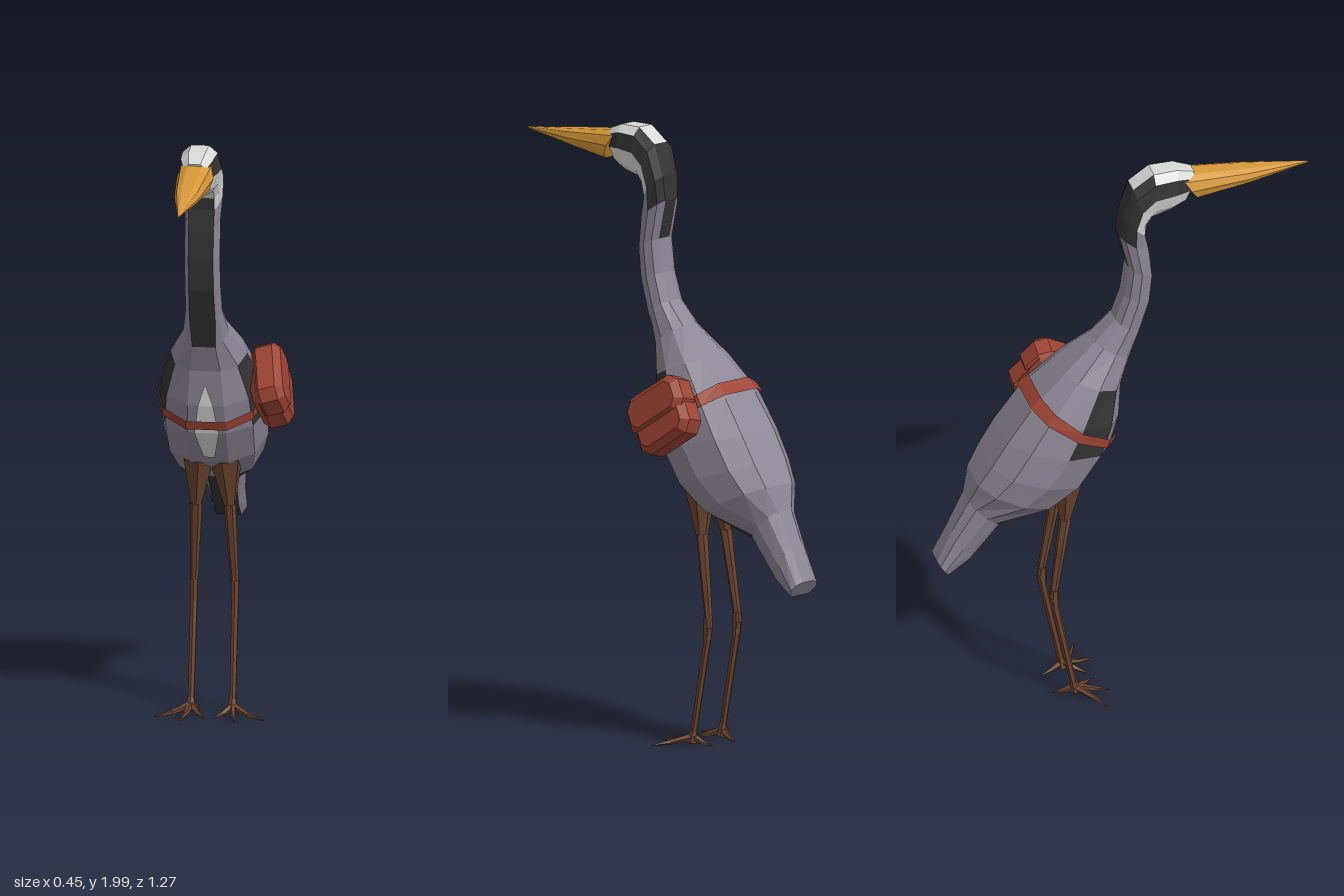
import * as THREE from 'three';

const mat = (name, color) => {
  const m = new THREE.MeshStandardMaterial({ color });
  m.name = name;
  return m;
};

export function createModel() {
  const mats = {
    g: mat('greyPlumage', 0x8c8494), d: mat('darkPlumage', 0x323232), w: mat('whitePlumage', 0xd8d8d6),
    y: mat('beakOchre', 0xd6973a), n: mat('legBrown', 0x6a432e), r: mat('bagRed', 0x9c4232),
  };
  const partNames = { g: 'greyFeathers', d: 'darkFeathers', w: 'whiteFeathers', y: 'beak', r: 'strap' };
  const bird = new THREE.Group();
  bird.name = 'wadingBird';
  bird.position.x = -0.05;
  const V = (x, y, z) => new THREE.Vector3(x, y, z);
  const add = (parent, name, geo, m) => {
    const flat = geo.index ? geo.toNonIndexed() : geo;
    flat.computeVertexNormals();
    const mesh = new THREE.Mesh(flat, m);
    mesh.name = name;
    parent.add(mesh);
    return mesh;
  };

  // Ten-sided ring from front/under point (z, y), back/upper point (z, y), half width and flat front share
  const ring = ([az, ay, bz, by, w, f]) => {
    const half = [[f, 0], [Math.max(0.82, f), 0.16], [1, 0.5], [0.82, 0.84], [0.42, 1]];
    const at = s => ([k, t]) => V(s * k * w, ay + (by - ay) * t, az + (bz - az) * t);
    return [...half.map(at(1)), ...half.slice().reverse().map(at(-1))];
  };
  const slot = [1, 2, 3, 4, 5, 4, 3, 2, 1, 0];

  // Skin rings; each band's code colours under, four side strips, and upper strip
  const loft = (name, rings, codes, capped) => {
    const tris = {};
    const put = (c, ...p) => (tris[c] ??= []).push(...p);
    for (let s = 0; s < rings.length - 1; s++) {
      const a = rings[s], b = rings[s + 1];
      for (let i = 0; i < 10; i++) {
        const j = (i + 1) % 10, code = codes[s];
        put(code[slot[i] % code.length], a[i], b[i], a[j], a[j], b[i], b[j]);
      }
    }
    if (capped) {
      const a = rings[0], b = rings[rings.length - 1];
      for (let i = 1; i < 9; i++) {
        put(codes[0][0], a[0], a[i], a[i + 1]);
        put(codes[codes.length - 1].slice(-1), b[0], b[i + 1], b[i]);
      }
    }
    const group = new THREE.Group();
    group.name = name;
    for (const c in tris) add(group, partNames[c], new THREE.BufferGeometry().setFromPoints(tris[c]), mats[c]);
    bird.add(group);
  };

  // Head, neck, body and tail
  const sections = [
    [0.20, 1.86, 0.24, 1.972, 0.045, 0.5],
    [0.16, 1.85, 0.18, 1.995, 0.065, 0.5],
    [0.09, 1.84, 0.10, 1.997, 0.07, 0.6],
    [0.07, 1.81, 0.03, 1.95, 0.07, 0.6],
    [0.066, 1.77, -0.005, 1.85, 0.065, 0.65],
    [0.08, 1.70, -0.015, 1.77, 0.058, 0.7],
    [0.09, 1.60, 0.015, 1.64, 0.058, 0.7],
    [0.08, 1.50, 0.00, 1.53, 0.058, 0.7],
    [0.045, 1.39, -0.03, 1.44, 0.06, 0.7],
    [0.012, 1.29, -0.10, 1.37, 0.075, 0.5],
    [-0.02, 1.20, -0.21, 1.28, 0.125, 0.4],
    [-0.03, 1.08, -0.33, 1.17, 0.165, 0.36],
    [-0.06, 0.98, -0.41, 1.06, 0.175, 0.36],
    [-0.14, 0.86, -0.465, 0.97, 0.17, 0.36],
    [-0.24, 0.78, -0.505, 0.90, 0.145, 0.4],
    [-0.43, 0.72, -0.53, 0.82, 0.075, 0.6],
    [-0.53, 0.60, -0.585, 0.71, 0.06, 0.7],
    [-0.60, 0.55, -0.635, 0.60, 0.058, 0.7],
  ];
  const rings = sections.map(ring);
  loft('body', rings, [
    'wwwdww', 'wwwdww', 'wwwddw', 'dwwddd', 'dggddd', 'dggggd', 'dggggg', 'dggggg', 'dggggg',
    'gggggg', 'ggdggg', 'ggdggg', 'gggggg', 'gggggg', 'ddgggg', 'dggggg', 'dggggg',
  ], true);

  // Beak, from tip to base
  loft('beakGroup', [
    [0.632, 1.908, 0.632, 1.913, 0.003, 0.5],
    [0.42, 1.888, 0.42, 1.942, 0.042, 0.5],
    [0.25, 1.872, 0.19, 1.972, 0.06, 0.5],
  ].map(ring), ['y', 'y'], true);

  // Pale breast mark
  const mark = [[1.15, -0.024, 0.002], [1.08, -0.03, 0.025], [0.98, -0.06, 0.04], [0.88, -0.127, 0.018]];
  const markPts = [];
  for (let i = 0; i < 3; i++) {
    const [[y0, z0, w0], [y1, z1, w1]] = [mark[i], mark[i + 1]];
    const a = V(-w0, y0, z0 + 0.005), b = V(w0, y0, z0 + 0.005);
    const c = V(-w1, y1, z1 + 0.005), d = V(w1, y1, z1 + 0.005);
    markPts.push(a, c, b, b, c, d);
  }
  add(bird, 'breastMark', new THREE.BufferGeometry().setFromPoints(markPts), mats.w);

  // Strap hugging the body, lower in front than behind
  const strapRing = du => [...Array(10).keys()].map(i => {
    const t = [0, 0.16, 0.5, 0.84, 1][i < 5 ? i : 9 - i];
    const u = 11.65 - 0.85 * t + du, k = Math.floor(u);
    const p = rings[k][i].clone().lerp(rings[k + 1][i], u - k);
    const out = p.clone().sub(V(0, 1.09, -0.19)).normalize();
    return p.addScaledVector(out, 0.012);
  });
  loft('strapGroup', [strapRing(-0.14), strapRing(0.14)], ['r'], false);

  // Satchel on the left flank
  const bag = new THREE.Group();
  bag.name = 'satchel';
  bag.position.set(0.195, 1.105, -0.185);
  bag.rotation.set(0.63, 0, 0.28, 'ZXY');
  bird.add(bag);
  const slab = (name, w, h, depth, bevel, x, y) => {
    const a = w / 2 - bevel, b = h / 2 - bevel, c = 0.02;
    const shape = new THREE.Shape([[-a + c, -b], [a - c, -b], [a, -b + c], [a, b - c],
      [a - c, b], [-a + c, b], [-a, b - c], [-a, -b + c]].map(p => new THREE.Vector2(...p)));
    const geo = new THREE.ExtrudeGeometry(shape, {
      depth: depth - 2 * bevel, bevelEnabled: true, bevelSegments: 1, bevelSize: bevel, bevelThickness: bevel,
    });
    geo.translate(0, 0, bevel - depth / 2).rotateY(Math.PI / 2).translate(x, y, 0);
    add(bag, name, geo, mats.r);
  };
  slab('pouch', 0.225, 0.2, 0.1, 0.022, 0, 0);
  slab('flap', 0.24, 0.135, 0.1, 0.022, 0.01, 0.04);

  // Legs and feet
  const limb = (parent, name, p, q, r0, r1, sides) => {
    const dir = q.clone().sub(p);
    const geo = new THREE.CylinderGeometry(r1, r0, dir.length(), sides);
    const mesh = add(parent, name, geo, mats.n);
    mesh.position.copy(p).addScaledVector(dir, 0.5);
    mesh.quaternion.setFromUnitVectors(V(0, 1, 0), dir.normalize());
  };
  for (const s of [1, -1]) {
    const leg = new THREE.Group();
    leg.name = s > 0 ? 'leftLeg' : 'rightLeg';
    bird.add(leg);
    const P = (x, y, z) => V(s * x, y, z);
    limb(leg, 'thigh', P(0.045, 0.86, -0.195), P(0.055, 0.7, -0.21), 0.055, 0.02, 6);
    limb(leg, 'upperLeg', P(0.055, 0.7, -0.21), P(0.067, 0.4, -0.255), 0.02, 0.012, 6);
    limb(leg, 'knee', P(0.067, 0.43, -0.25), P(0.067, 0.36, -0.248), 0.015, 0.014, 6);
    limb(leg, 'shin', P(0.067, 0.4, -0.255), P(0.068, 0.03, -0.183), 0.013, 0.011, 6);
    limb(leg, 'ankle', P(0.068, 0.05, -0.186), P(0.068, 0.01, -0.178), 0.012, 0.02, 6);
    const toes = [[0.125, -0.135, 0.18, -0.105], [0.078, -0.12, 0.09, -0.07], [0.04, -0.14, 0.015, -0.11], [0.06, -0.22, 0.05, -0.255]];
    for (const [mx, mz, tx, tz] of toes) {
      limb(leg, 'toe', P(0.068, 0.028, -0.182), P(mx, 0.011, mz), 0.013, 0.008, 5);
      limb(leg, 'claw', P(mx, 0.011, mz), P(tx, 0.004, tz), 0.008, 0.002, 5);
    }
  }

  const model = new THREE.Group();
  model.name = 'model';
  model.add(bird);
  return model;
}
